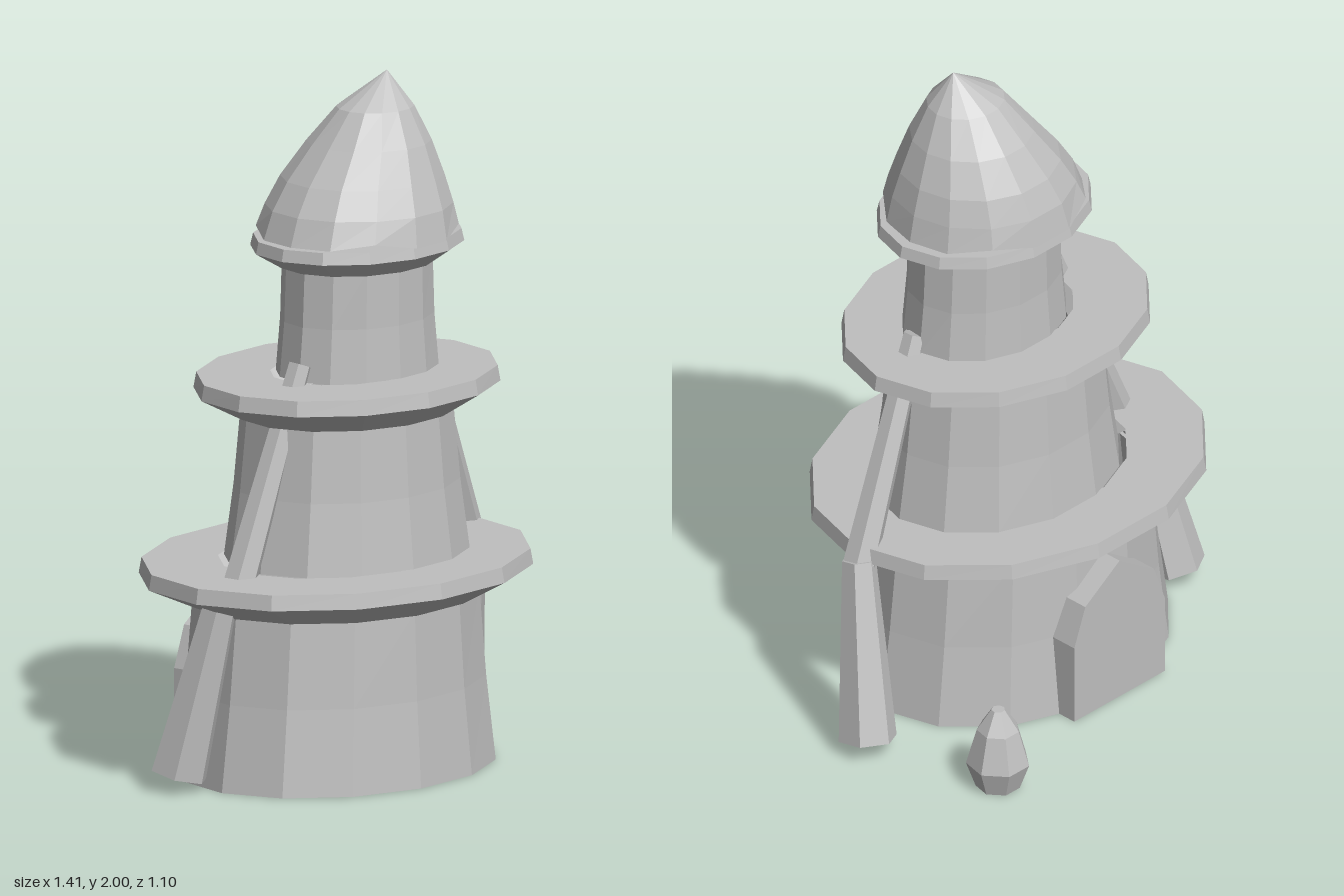
import * as THREE from 'three';

const stone = new THREE.MeshStandardMaterial({ color: 0xbfbfbf, flatShading: true, side: THREE.DoubleSide });
stone.name = 'grey stone';

// Skin stacked elliptical rings [y, cx, cz, rx, rz, wave], listed bottom to top
function loft(rings, sides, start = 0) {
  const pos = [], idx = [];
  rings.forEach(([y, cx, cz, rx, rz, wave = 0]) => {
    for (let i = 0; i < sides; i++) {
      const a = start + (i / sides) * Math.PI * 2;
      const lift = wave * Math.max(0, -Math.cos(4 * a));
      pos.push(cx + rx * Math.cos(a), y + lift, cz + rz * Math.sin(a));
    }
  });
  for (let r = 0; r < rings.length - 1; r++) {
    for (let i = 0; i < sides; i++) {
      const j = (i + 1) % sides;
      const a = r * sides + i, b = r * sides + j;
      idx.push(a, a + sides, b, b, a + sides, b + sides);
    }
  }
  const g = new THREE.BufferGeometry();
  g.setAttribute('position', new THREE.Float32BufferAttribute(pos, 3));
  g.setIndex(idx);
  g.computeVertexNormals();
  return g;
}

export function createModel() {
  const model = new THREE.Group();
  model.name = 'tower';
  const add = (name, geometry, parent = model) => {
    const m = new THREE.Mesh(geometry, stone);
    m.name = name;
    parent.add(m);
    return m;
  };

  // Tiers: flared wall, then an overhanging ledge with a thin rim
  const cz = 0.045;
  const tiers = [
    { name: 'lower', cx: -0.075, y: [0, 0.5, 0.57, 0.615], foot: [0.52, 0.415], top: [0.455, 0.38], rim: [0.637, 0.516], inner: [0.38, 0.31] },
    { name: 'middle', cx: -0.025, y: [0.61, 1.03, 1.1, 1.145], foot: [0.395, 0.323], top: [0.338, 0.282], rim: [0.495, 0.402], inner: [0.25, 0.2] },
    { name: 'upper', cx: 0.022, y: [1.14, 1.455, 1.505, 1.54], foot: [0.265, 0.212], top: [0.24, 0.2], rim: [0.344, 0.281], inner: [0.24, 0.2] },
  ];
  for (const t of tiers) {
    const [y0, y1, y2, y3] = t.y;
    const [rx, rz] = t.rim;
    add(t.name + 'Wall', loft([
      [y0, t.cx, cz, ...t.foot],
      [y0 + (y1 - y0) * 0.5, t.cx, cz, (t.foot[0] + t.top[0]) / 2 - 0.004, (t.foot[1] + t.top[1]) / 2 - 0.004],
      [y1 + 0.01, t.cx, cz, ...t.top],
    ], 14));
    add(t.name + 'Ledge', loft([
      [y1, t.cx, cz, t.top[0] - 0.01, t.top[1] - 0.01],
      [y1, t.cx, cz, t.top[0] + 0.015, t.top[1] + 0.012],
      [y2, t.cx, cz, rx, rz],
      [y3, t.cx, cz, rx - 0.008, rz - 0.008],
      [y3, t.cx, cz, ...t.inner],
    ], 14));
  }

  // Leaning pointed roof with a scalloped hem
  add('roof', loft([
    [1.535, 0.022, cz, 0.305, 0.28, 0.025],
    [1.62, 0.03, cz, 0.28, 0.263],
    [1.7, 0.045, cz, 0.243, 0.23],
    [1.8, 0.063, 0.055, 0.183, 0.177],
    [1.9, 0.073, 0.07, 0.118, 0.108],
    [2.0, 0.11, 0.083, 0, 0],
  ], 14));

  // Bent timber props on both sides
  const beam = (name, from, to, rTop, rBottom, parent) => {
    const a = new THREE.Vector3(...from), b = new THREE.Vector3(...to);
    const m = add(name, new THREE.CylinderGeometry(rTop, rBottom, a.distanceTo(b), 6), parent);
    m.position.copy(a).add(b).multiplyScalar(0.5);
    m.quaternion.setFromUnitVectors(new THREE.Vector3(0, 1, 0), a.sub(b).normalize());
  };
  const props = [
    ['leftProp', [0.275, 1.19, 0.075], [0.55, 0.54, 0.03], [0.55, 0.57, 0.03], [0.627, 0.045, -0.08]],
    ['rightProp', [-0.27, 1.2, 0.07], [-0.52, 0.54, 0.03], [-0.575, 0.57, 0.03], [-0.635, 0.045, -0.08]],
  ];
  for (const [name, top, knee, hip, foot] of props) {
    const g = new THREE.Group();
    g.name = name;
    beam('upperBeam', top, knee, 0.034, 0.052, g);
    beam('lowerBeam', hip, foot, 0.05, 0.086, g);
    model.add(g);
  }

  // Pointed door slab at the back
  const arch = new THREE.Shape([
    [-0.185, 0], [0.185, 0], [0.185, 0.25], [0.14, 0.37], [0, 0.463], [-0.14, 0.37], [-0.185, 0.25],
  ].map(([x, y]) => new THREE.Vector2(x, y)));
  const door = add('door', new THREE.ExtrudeGeometry(arch, { depth: 0.1, bevelEnabled: false }));
  door.position.set(-0.08, 0, -0.395);

  // Small seven-sided bud-shaped post beside the door
  add('post', loft([
    [0, 0.488, -0.465, 0, 0],
    [0, 0.488, -0.465, 0.065, 0.065],
    [0.08, 0.488, -0.465, 0.093, 0.093],
    [0.19, 0.488, -0.465, 0.062, 0.062],
    [0.255, 0.488, -0.465, 0.02, 0.02],
    [0.255, 0.488, -0.465, 0, 0],
  ], 7, Math.PI / 2));

  return model;
}
